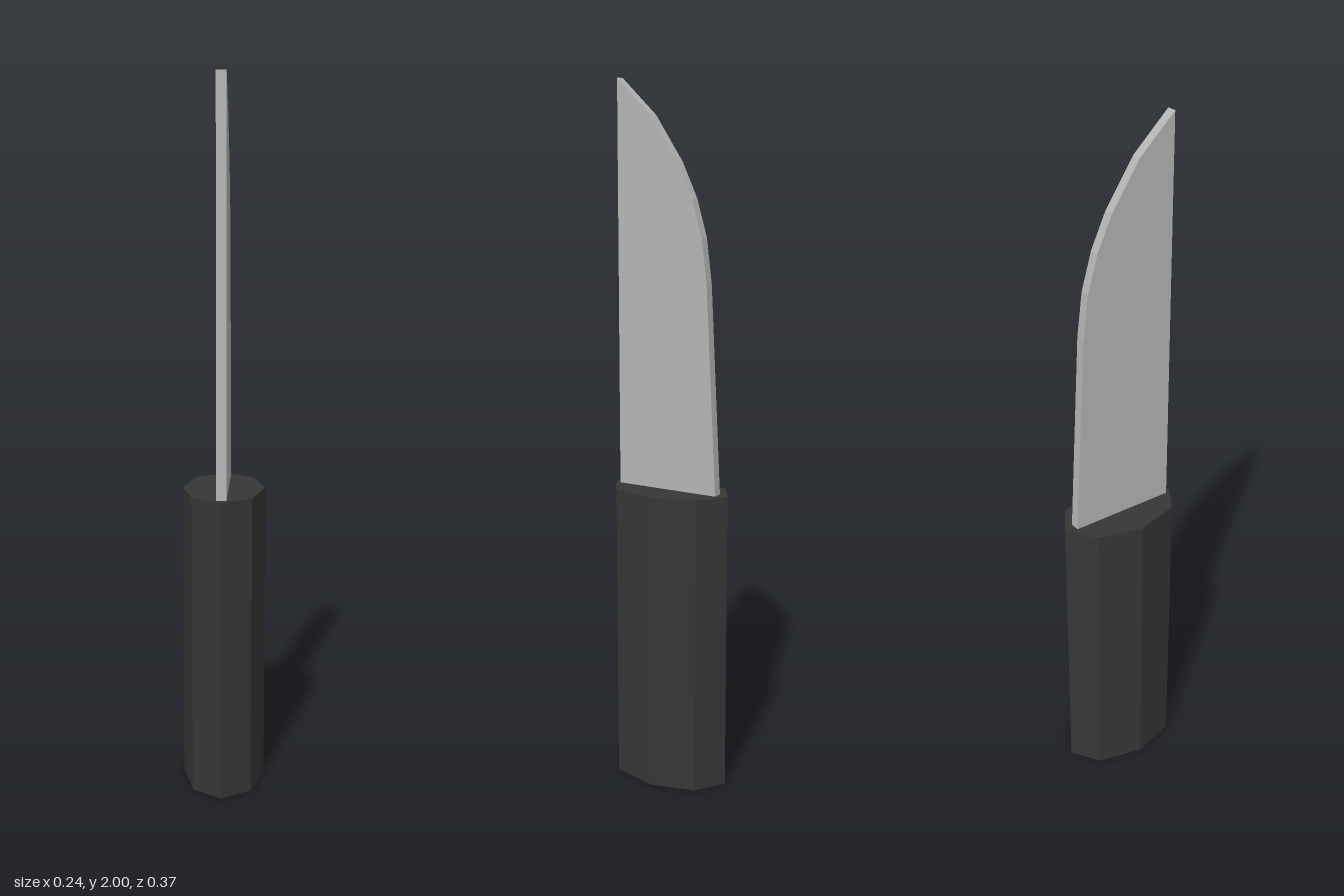
import * as THREE from 'three';

export function createModel() {
  const model = new THREE.Group();
  model.name = 'knife';

  const gripMaterial = new THREE.MeshStandardMaterial({ color: 0x363636 });
  gripMaterial.name = 'dark grip';
  gripMaterial.flatShading = true;
  const steelMaterial = new THREE.MeshStandardMaterial({ color: 0xb6b6b6 });
  steelMaterial.name = 'grey steel';
  steelMaterial.flatShading = true;

  // Handle: an eight-sided prism, squeezed sideways
  const handleHeight = 0.865;
  const handleGeometry = new THREE.CylinderGeometry(1, 1, handleHeight, 8);
  handleGeometry.scale(0.118, 1, 0.185);
  handleGeometry.translate(0, handleHeight / 2, 0);
  const handle = new THREE.Mesh(handleGeometry, gripMaterial);
  handle.name = 'handle';
  model.add(handle);

  // Blade: straight spine at the front, curved edge at the back, as [z, y]
  const profile = [
    [0.163, 0.86], [0.163, 2], [0.055, 1.9], [-0.03, 1.775], [-0.075, 1.68],
    [-0.106, 1.575], [-0.122, 1.45], [-0.153, 0.86],
  ];
  const thickness = 0.028;
  const shape = new THREE.Shape(profile.map(([z, y]) => new THREE.Vector2(-z, y)));
  const bladeGeometry = new THREE.ExtrudeGeometry(shape, { depth: thickness, bevelEnabled: false });
  bladeGeometry.translate(0, 0, -thickness / 2);
  bladeGeometry.rotateY(Math.PI / 2);
  const blade = new THREE.Mesh(bladeGeometry, steelMaterial);
  blade.name = 'blade';
  model.add(blade);

  return model;
}
